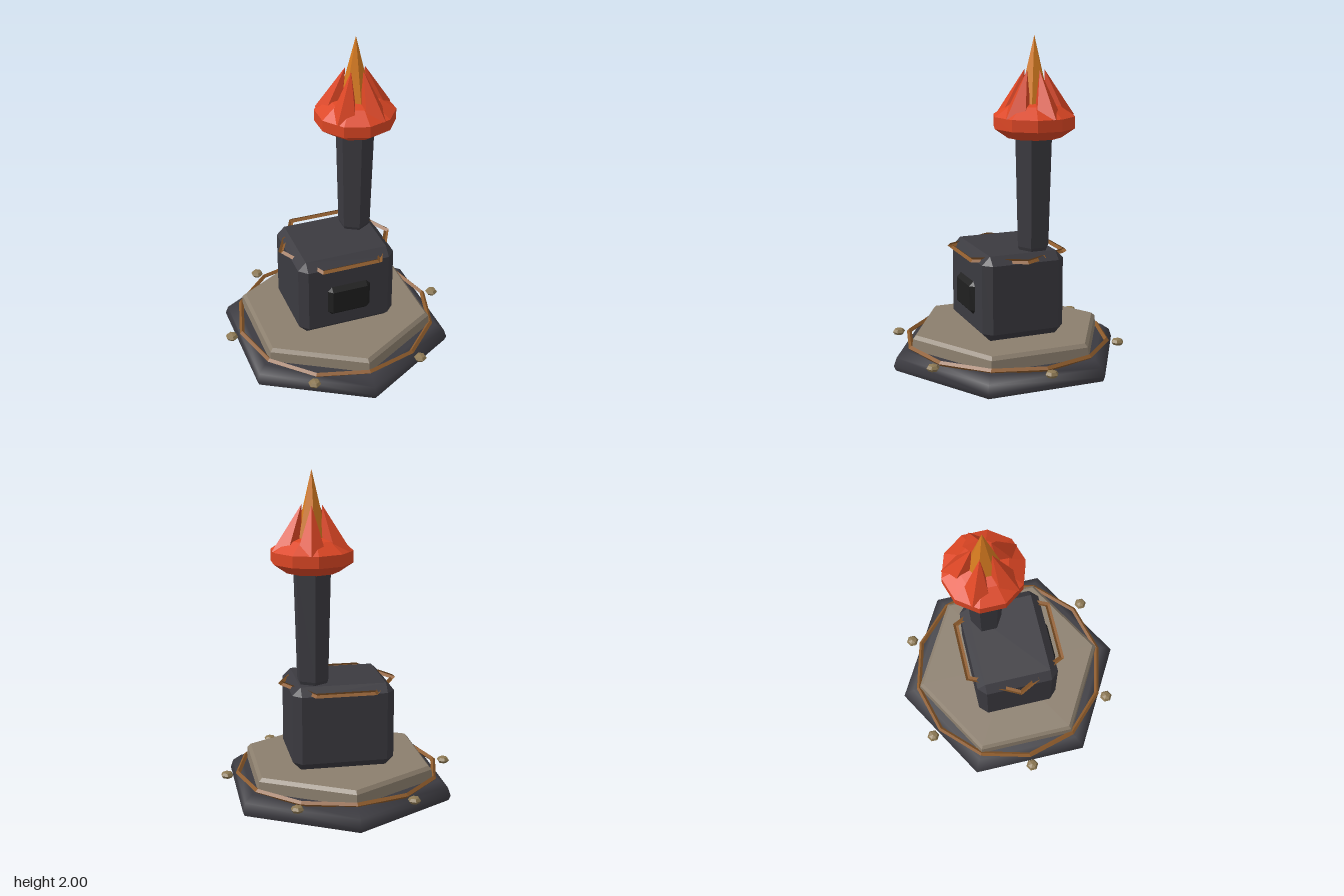
import * as THREE from 'three';
import { ConvexGeometry } from 'three/addons/geometries/ConvexGeometry.js';

export function createModel() {
  const model = new THREE.Group();
  const mat = (name, color) => {
    const m = new THREE.MeshStandardMaterial({ color });
    m.name = name;
    return m;
  };
  const iron = mat('dark iron', 0x3b3a40);
  const stone = mat('warm stone', 0x8b7e6d);
  const bronze = mat('bronze', 0x8c5a2b);
  const brass = mat('brass', 0x8c7853);
  const soot = mat('soot black', 0x1f1f1f);
  const red = mat('flame red', 0xdc4624);
  const orange = mat('flame orange', 0xd87c20);

  const add = (name, geometry, material, x = 0, y = 0, z = 0, parent = model) => {
    const mesh = new THREE.Mesh(geometry, material);
    mesh.name = name;
    mesh.position.set(x, y, z);
    parent.add(mesh);
    return mesh;
  };
  // Faceted copy of a geometry
  const flat = (geometry) => {
    const g = geometry.index ? geometry.toNonIndexed() : geometry;
    g.computeVertexNormals();
    return g;
  };
  // Prism turned from a [radius, y] profile, with a corner at +z
  const turned = (profile, sides) =>
    new THREE.LatheGeometry(profile.map(([r, y]) => new THREE.Vector2(r, y)), sides);

  // Box with every edge cut at 45 degrees
  const chamferBox = (hx, hy, hz, c) => {
    const pts = [];
    for (const x of [-1, 1]) for (const y of [-1, 1]) for (const z of [-1, 1]) {
      pts.push(
        new THREE.Vector3(x * hx, y * (hy - c), z * (hz - c)),
        new THREE.Vector3(x * (hx - c), y * hy, z * (hz - c)),
        new THREE.Vector3(x * (hx - c), y * (hy - c), z * hz));
    }
    return new ConvexGeometry(pts);
  };

  // Diamond-section bar along a flat [x, z] path with mitred corners
  const bar = (path, r) => {
    const p = path.map(([x, z]) => new THREE.Vector2(x, z));
    const pos = [], idx = [];
    p.forEach((pt, i) => {
      const a = p[Math.max(i - 1, 0)], b = p[Math.min(i + 1, p.length - 1)];
      const d0 = (i ? pt.clone().sub(a) : b.clone().sub(pt)).normalize();
      const d1 = (i < p.length - 1 ? b.clone().sub(pt) : d0.clone()).normalize();
      const t = d0.clone().add(d1).normalize();
      const w = r / t.dot(d0);
      const nx = -t.y * w, nz = t.x * w;
      pos.push(pt.x + nx, 0, pt.y + nz, pt.x, r, pt.y, pt.x - nx, 0, pt.y - nz, pt.x, -r, pt.y);
      if (i) for (let k = 0; k < 4; k++) {
        const s = (i - 1) * 4 + k, e = (i - 1) * 4 + (k + 1) % 4;
        idx.push(s, e, s + 4, e, e + 4, s + 4);
      }
    });
    const n = (p.length - 1) * 4;
    idx.push(0, 2, 1, 0, 3, 2, n, n + 1, n + 2, n, n + 2, n + 3);
    const g = new THREE.BufferGeometry();
    g.setAttribute('position', new THREE.Float32BufferAttribute(pos, 3));
    g.setIndex(idx);
    return flat(g);
  };

  // Hexagonal plinth; the doubled points keep the underside crisp
  add('plinth', turned([[0, 0], [0.72, 0], [0.72, 0], [0.733, 0.03], [0.715, 0.08],
    [0.66, 0.12], [0, 0.125]], 6), iron);
  add('stoneSlab', flat(turned([[0, 0.12], [0.617, 0.12], [0.61, 0.185], [0.588, 0.206],
    [0, 0.206]], 6)), stone);

  // Twelve-sided ring and six beads around the plinth
  add('plinthRing', flat(new THREE.TorusGeometry(0.622, 0.016, 4, 12).rotateX(Math.PI / 2)),
    bronze, 0, 0.129, 0);
  const bead = flat(new THREE.SphereGeometry(0.04, 6, 4).rotateY(Math.PI / 6).scale(1, 0.58, 1));
  for (let i = 0; i < 6; i++) {
    const a = i * Math.PI / 3;
    add('bead', bead, brass, 0.69 * Math.cos(a), 0.122, 0.69 * Math.sin(a));
  }

  // Furnace body and door
  add('furnaceBody', chamferBox(0.31, 0.26, 0.26, 0.05), iron, 0, 0.465, 0);
  add('furnaceDoor', chamferBox(0.138, 0.102, 0.06, 0.027), soot, 0, 0.437, 0.227);

  // Bronze brackets on the four sides near the top of the furnace
  const longBar = bar([[-0.218, 0.225], [-0.183, 0.302], [0.183, 0.302], [0.218, 0.225]], 0.015);
  const shortBar = bar([[0.285, -0.125], [0.35, 0], [0.285, 0.125]], 0.015);
  for (const turn of [0, Math.PI]) {
    add('longBracket', longBar, bronze, 0, 0.695, 0).rotation.y = turn;
    add('shortBracket', shortBar, bronze, 0, 0.695, 0).rotation.y = turn;
  }

  // Chimney
  const stack = new THREE.Group();
  stack.name = 'chimney';
  stack.position.set(0.17, 0, -0.104);
  model.add(stack);
  add('chimneyShaft', flat(turned([[0, 0.72], [0.09, 0.72], [0.1, 0.745], [0.118, 1.41],
    [0, 1.42]], 6)), iron, 0, 0, 0, stack);

  // Flame: faceted bowl, inward-leaning tongues and a tall core
  add('flameBowl', flat(turned([[0, 1.405], [0.164, 1.405], [0.246, 1.462], [0.246, 1.532],
    [0.15, 1.595], [0, 1.63]], 10)), red, 0, 0, 0, stack);
  add('flameCore', flat(new THREE.ConeGeometry(0.118, 0.48, 6)), orange, 0, 1.76, 0, stack);
  const lean = Math.atan2(0.09, 0.295), length = Math.hypot(0.09, 0.295);
  const tongue = flat(new THREE.ConeGeometry(0.095, length, 5).translate(0, length / 2, 0)
    .rotateX(-lean).translate(0, 1.505, 0.152));
  for (let i = 0; i < 5; i++) {
    add('flameTongue', tongue, red, 0, 0, 0, stack).rotation.y =
      THREE.MathUtils.degToRad(26 + 72 * i);
  }
  return model;
}
